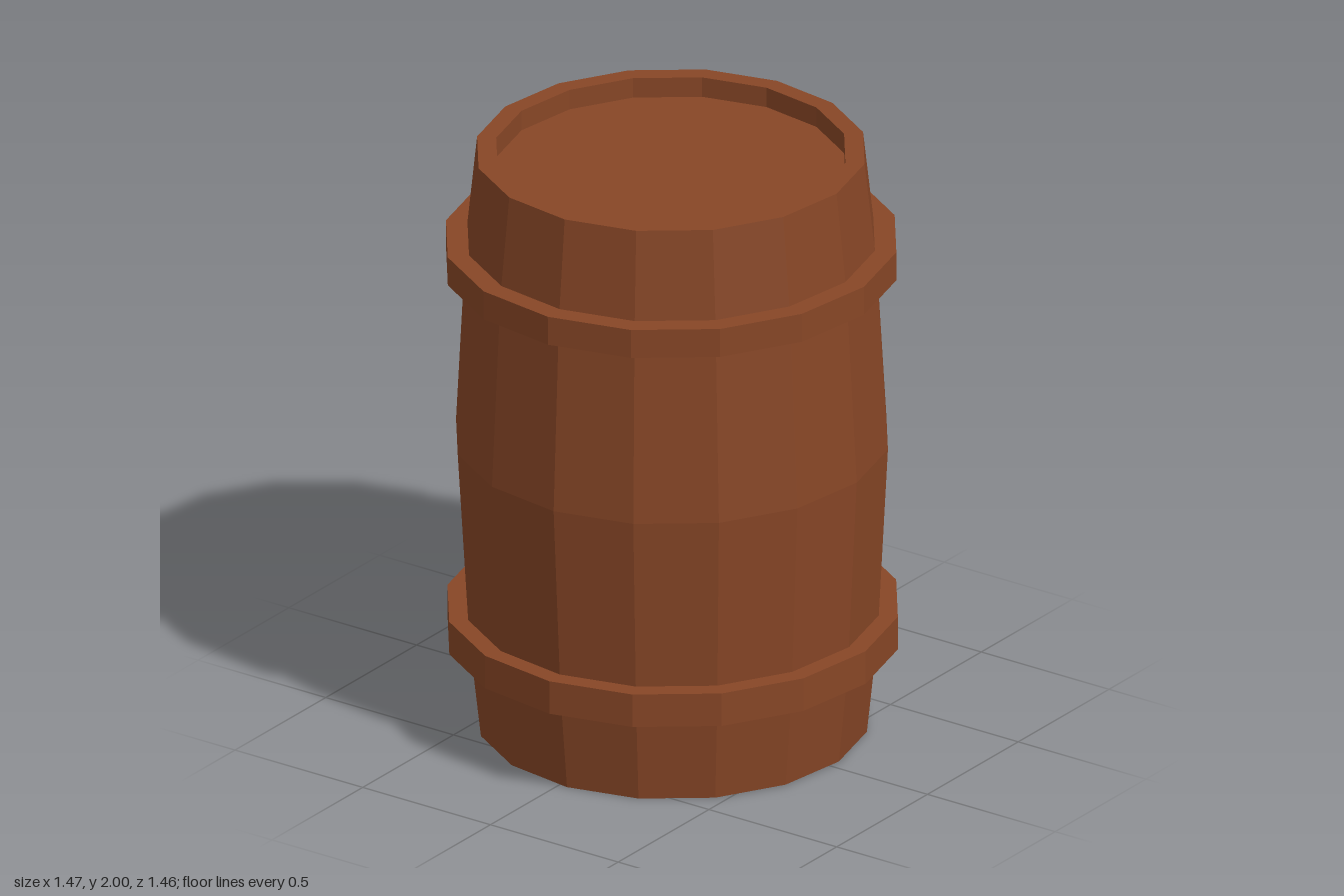
import * as THREE from 'three';

const SIDES = 16;
const PHASE = 0.048; // slight turn of the facets about the barrel axis

// Faceted solid of revolution; profile is [radius, height] measured from mid-height
function turned(name, profile, material) {
  const points = profile.map(([r, y]) => new THREE.Vector2(r, y));
  const geometry = new THREE.LatheGeometry(points, SIDES, PHASE).toNonIndexed();
  geometry.computeVertexNormals();
  const mesh = new THREE.Mesh(geometry, material);
  mesh.name = name;
  return mesh;
}

// Flat round head closing one end
function head(name, y, up, material) {
  const geometry = new THREE.CircleGeometry(0.566, SIDES);
  geometry.rotateZ(-Math.PI / 2);
  geometry.rotateX(up ? -Math.PI / 2 : Math.PI / 2);
  geometry.rotateY(PHASE);
  const mesh = new THREE.Mesh(geometry, material);
  mesh.name = name;
  mesh.position.y = y;
  return mesh;
}

export function createModel() {
  const wood = new THREE.MeshStandardMaterial({ color: 0x874626 });
  wood.name = 'brown wood';

  const barrel = new THREE.Group();
  barrel.name = 'barrel';

  // Bulging staves with a raised rim at both ends
  const H = 0.996, RECESS = 0.068;
  barrel.add(turned('staves', [
    [0.566, -H + RECESS], [0.566, -H], [0.628, -H], [0.664, -0.66], [0.7, 0],
    [0.664, 0.66], [0.628, H], [0.566, H], [0.566, H - RECESS],
  ], wood));

  // Recessed heads
  barrel.add(head('topHead', H - RECESS, true, wood));
  barrel.add(head('bottomHead', -H + RECESS, false, wood));

  // Two hoops
  for (const [name, y0, y1] of [['upperHoop', 0.596, 0.694], ['lowerHoop', -0.699, -0.585]]) {
    barrel.add(turned(name, [[0.62, y0], [0.73, y0], [0.73, y1], [0.62, y1]], wood));
  }

  // The barrel leans very slightly to its right
  barrel.rotation.z = 0.0065;
  barrel.position.y = 1;

  const model = new THREE.Group();
  model.name = 'woodenBarrel';
  model.add(barrel);
  return model;
}
